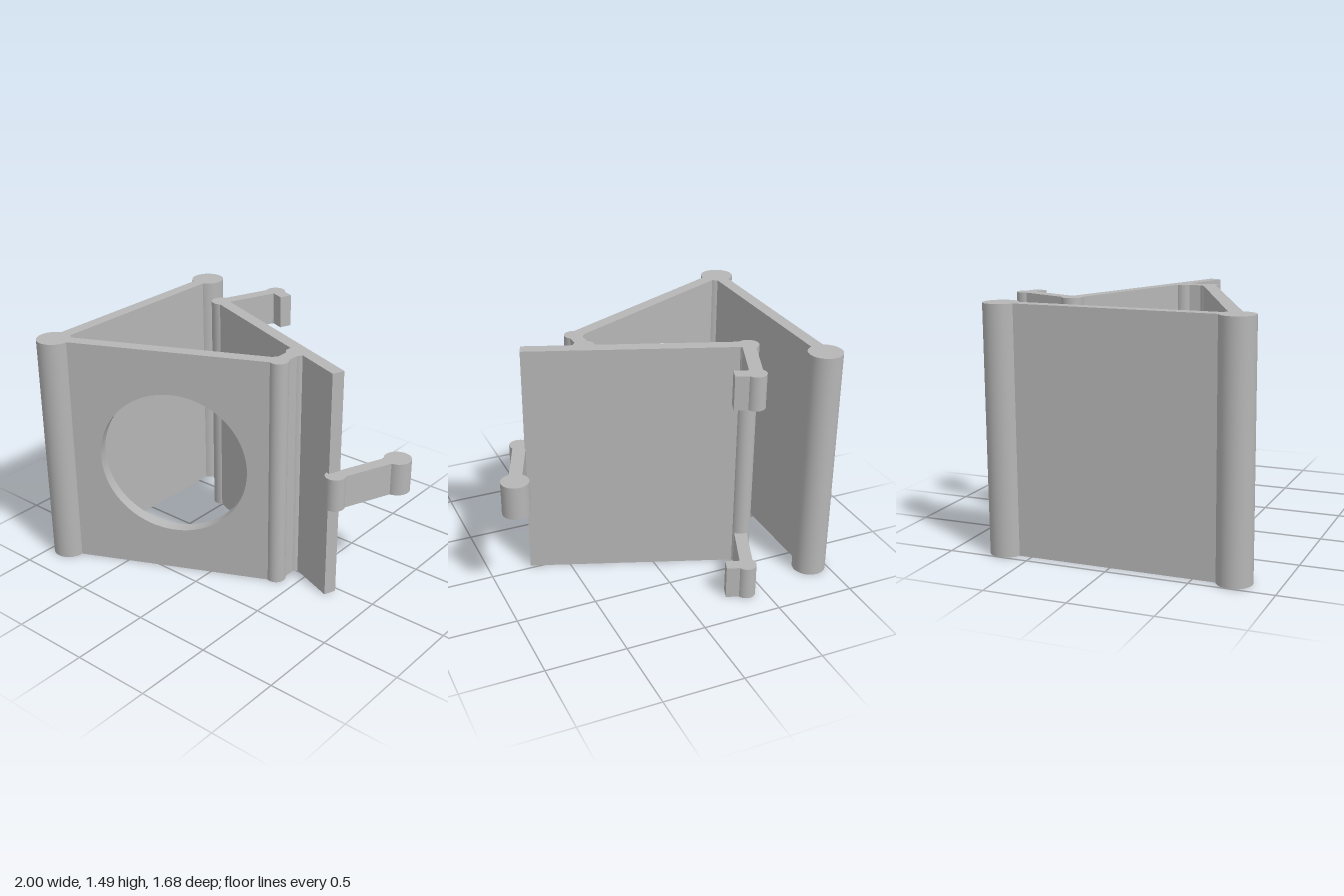
import * as THREE from 'three';

const H = 1.49, T = 0.08; // overall height, wall thickness

export function createModel() {
  const model = new THREE.Group();
  const grey = new THREE.MeshStandardMaterial({ color: 0xb6b6b6 });

  // Upright round post at plan point [x, z]
  function post(parent, name, [x, z], r, y0 = 0, y1 = H) {
    const m = new THREE.Mesh(new THREE.CylinderGeometry(r, r, y1 - y0, 40), grey);
    m.position.set(x, (y0 + y1) / 2, z);
    m.name = name;
    parent.add(m);
  }

  // Upright plate between two plan points, optionally with a round hole { d, y, r }
  function wall(parent, name, a, b, y0 = 0, y1 = H, hole = null) {
    const dx = b[0] - a[0], dz = b[1] - a[1], len = Math.hypot(dx, dz);
    const s = new THREE.Shape();
    s.moveTo(0, y0).lineTo(len, y0).lineTo(len, y1).lineTo(0, y1).closePath();
    if (hole) {
      const p = new THREE.Path();
      p.absarc(hole.d, hole.y, hole.r, 0, Math.PI * 2, true);
      s.holes.push(p);
    }
    const g = new THREE.ExtrudeGeometry(s, { depth: T, bevelEnabled: false, curveSegments: 64 });
    g.translate(0, 0, -T / 2);
    const m = new THREE.Mesh(g, grey);
    m.rotation.y = Math.atan2(-dz, dx);
    m.position.set(a[0], 0, a[1]);
    m.name = name;
    parent.add(m);
  }

  // Plan points
  const back = [-0.895, -0.675], front = [-0.895, 0.735];
  const hinge = [0.36, 0.14], joint = [0.36, -0.03];
  const panelL = [-0.535, -0.4], panelR = [0.725, 0.063];

  // Side wall with its two thick posts
  post(model, 'backPost', back, 0.105);
  post(model, 'frontPost', front, 0.105);
  wall(model, 'sideWall', back, front);

  // Slanted front wall with a large round opening
  wall(model, 'frontWall', front, hinge, 0, H, { d: 0.741, y: 0.747, r: 0.468 });

  // Short neck joining the front wall to the rear panel
  post(model, 'neckFrontPost', hinge, 0.06);
  post(model, 'neckBackPost', joint, 0.065);
  wall(model, 'neck', hinge, joint);

  // Rear panel
  wall(model, 'rearPanel', panelL, panelR);
  post(model, 'panelEdgePost', panelL, 0.065);

  // Hooked clips at the bottom and top of the panel's edge
  for (const [name, y0, y1] of [['lowerClip', 0, 0.21], ['upperClip', 1.28, H]]) {
    const clip = new THREE.Group();
    clip.name = name;
    const tip = [-0.385, -0.78];
    wall(clip, 'clipArm', panelL, tip, y0, y1);
    post(clip, 'clipKnuckle', tip, 0.06, y0, y1);
    wall(clip, 'clipHook', tip, [-0.266, -0.736], y0, y1);
    model.add(clip);
  }

  // Single arm with a round end at the other edge
  const arm = new THREE.Group();
  arm.name = 'latchArm';
  const root = [0.75, 0.09], end = [0.915, -0.325];
  post(arm, 'armRoot', root, 0.063, 0.64, 0.85);
  wall(arm, 'armBar', root, end, 0.64, 0.85);
  post(arm, 'armEnd', end, 0.085, 0.64, 0.85);
  model.add(arm);

  return model;
}
